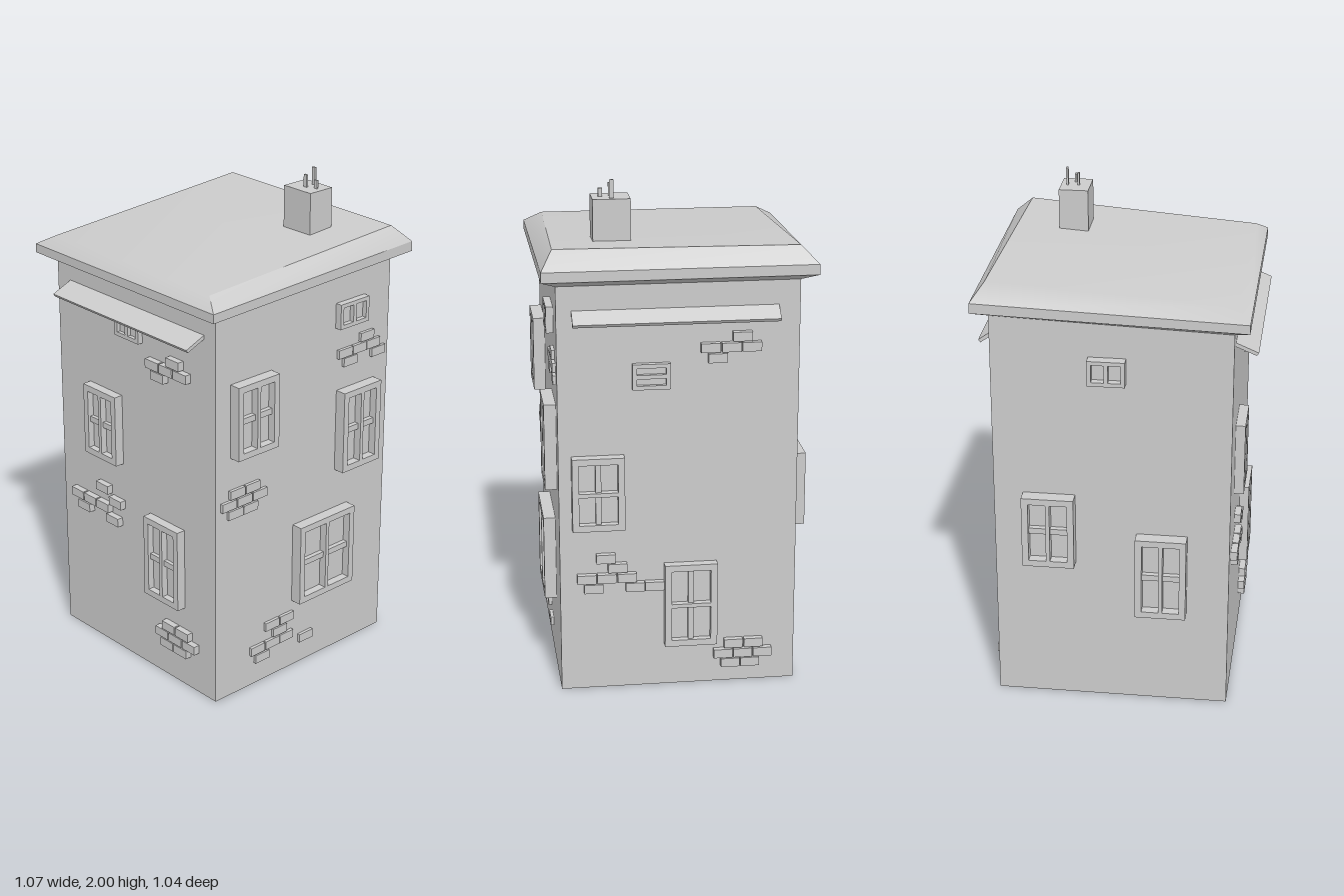
import * as THREE from 'three';

const grey = new THREE.MeshStandardMaterial({ color: 0xcccccc, side: THREE.DoubleSide });

function add(parent, name, geometry, x = 0, y = 0, z = 0) {
  const mesh = new THREE.Mesh(geometry, grey);
  mesh.name = name;
  mesh.position.set(x, y, z);
  parent.add(mesh);
  return mesh;
}

function box(parent, name, u0, u1, v0, v1, d0, d1) {
  return add(parent, name, new THREE.BoxGeometry(u1 - u0, v1 - v0, d1 - d0),
    (u0 + u1) / 2, (v0 + v1) / 2, (d0 + d1) / 2);
}

// Geometry from quads of corner points; points shared by reference give smooth normals when smooth is set
function quads(list, smooth = false) {
  const points = [], index = [];
  for (const quad of list) {
    const ids = quad.map((p) => {
      const found = smooth ? points.indexOf(p) : -1;
      return found >= 0 ? found : points.push(p) - 1;
    });
    index.push(ids[0], ids[1], ids[2], ids[0], ids[2], ids[3]);
  }
  const g = new THREE.BufferGeometry();
  g.setAttribute('position', new THREE.Float32BufferAttribute(points.flat(), 3));
  g.setIndex(index);
  g.computeVertexNormals();
  return g;
}

// Side faces between two rings of four corners
const sides = (low, high, which = [0, 1, 2, 3]) => which.map((i) => {
  const j = (i + 1) % 4;
  return [low[i], low[j], high[j], high[i]];
});

// Ring order: front -x, front +x, back +x, back -x
const ring = (x0, x1, z0, z1, yLow, yHigh) =>
  [[x0, yLow, z1], [x1, yHigh, z1], [x1, yHigh, z0], [x0, yLow, z0]];

function rectPath(path, u0, u1, v0, v1) {
  path.moveTo(u0, v0);
  path.lineTo(u1, v0);
  path.lineTo(u1, v1);
  path.lineTo(u0, v1);
  path.closePath();
  return path;
}

// Framed window with two panes; columns: side by side, otherwise stacked
function addWindow(face, u0, u1, v0, v1, depth, { columns = true, small = false } = {}) {
  const group = new THREE.Group();
  group.name = small ? 'smallWindow' : 'window';
  face.add(group);
  const m = small ? 0.016 : 0.026, half = 0.008, inside = 0.015;
  const uc = (u0 + u1) / 2, vc = (v0 + v1) / 2;
  const [a, b, c, d] = [u0 + m, u1 - m, v0 + m, v1 - m];
  const shape = rectPath(new THREE.Shape(), u0, u1, v0, v1);
  const holes = columns
    ? [[a, uc - half, c, d], [uc + half, b, c, d]]
    : [[a, b, c, vc - half], [a, b, vc + half, d]];
  holes.forEach((h) => shape.holes.push(rectPath(new THREE.Path(), ...h)));
  add(group, 'windowFrame',
    new THREE.ExtrudeGeometry(shape, { depth: depth + inside, bevelEnabled: false }), 0, 0, -inside);
  box(group, 'windowPane', a, b, c, d, -0.01, depth * 0.3);
  if (small) return;
  // Thin recessed glazing bar crossing both panes
  if (columns) box(group, 'glazingBar', a, b, vc - 0.012, vc + 0.012, 0, depth * 0.7);
  else box(group, 'glazingBar', uc - 0.011, uc + 0.011, c, d, 0, depth * 0.7);
}

// Brick cluster: each row is [height of centre, ...brick centres]
function addBricks(face, depth, rows) {
  const group = new THREE.Group();
  group.name = 'exposedBricks';
  face.add(group);
  for (const [v, ...centres] of rows) {
    for (const u of centres) box(group, 'brick', u - 0.037, u + 0.037, v - 0.018, v + 0.018, -0.012, depth);
  }
}

// Sloping board from the wall out to its lower edge
function addAwning(face, u0, u1, top, bottom, reach) {
  const shape = new THREE.Shape();
  shape.moveTo(-0.01, top);
  shape.lineTo(reach, bottom + 0.012);
  shape.lineTo(reach - 0.008, bottom);
  shape.lineTo(-0.01, top - 0.016);
  shape.closePath();
  const g = new THREE.ExtrudeGeometry(shape, { depth: u1 - u0, bevelEnabled: false });
  g.rotateY(-Math.PI / 2);
  add(face, 'awning', g, u1, 0, 0);
}

export function createModel() {
  const root = new THREE.Group();
  root.name = 'towerHouse';

  // Walls, open at the bottom
  const foot = ring(-0.45, 0.475, -0.462, 0.465, 0, 0);
  const wallTop = ring(-0.45, 0.475, -0.462, 0.465, 1.612, 1.643);
  add(root, 'walls', quads(sides(foot, wallTop)));

  // Tilted roof with sloping eaves, rim and bevelled top
  const eaveLow = ring(-0.51, 0.535, -0.522, 0.522, 1.642, 1.672);
  const eaveTop = ring(-0.51, 0.535, -0.522, 0.522, 1.678, 1.712);
  const crown = [[-0.465, 1.72, 0.45], [0.462, 1.782, 0.475], [0.485, 1.778, -0.457], [-0.46, 1.72, -0.45]];
  add(root, 'eaves', quads([...sides(wallTop, eaveLow), ...sides(eaveLow, eaveTop)]));
  add(root, 'roofBevel', quads(sides(eaveTop, crown, [0, 1])));
  add(root, 'roofTop', quads([crown, ...sides(eaveTop, crown, [2, 3])], true));

  // Chimney and its thin pipes
  box(root, 'chimney', 0.185, 0.302, 1.7, 1.93, 0.162, 0.307);
  for (const [x, z, top] of [[0.232, 0.233, 1.98], [0.277, 0.233, 2.0], [0.248, 0.273, 1.963]]) {
    box(root, 'chimneyPipe', x - 0.004, x + 0.004, 1.92, top, z - 0.008, z + 0.008);
  }

  // Each face group has u to the right, v up and depth outward
  const makeFace = (name, angle, x, z) => {
    const face = new THREE.Group();
    face.name = name;
    face.rotation.y = angle;
    face.position.set(x, 0, z);
    root.add(face);
    return face;
  };

  // Front
  const front = makeFace('frontDetails', 0, 0, 0.465);
  addWindow(front, -0.374, -0.164, 1.045, 1.347, 0.047);
  addWindow(front, 0.191, 0.398, 0.814, 1.159, 0.047);
  addWindow(front, -0.037, 0.265, 0.302, 0.645, 0.047);
  addWindow(front, 0.178, 0.334, 1.425, 1.528, 0.028, { small: true });
  addBricks(front, 0.013, [[1.353, 0.347], [1.312, 0.227, 0.305, 0.382], [1.272, 0.255, 0.412]]);
  addBricks(front, 0.013, [[0.892, -0.345, -0.265], [0.85, -0.387, -0.308, -0.228], [0.808, -0.355, -0.276]]);
  addBricks(front, 0.013, [[0.24, -0.153, -0.073], [0.198, -0.111], [0.156, -0.231, -0.152, -0.075], [0.114, -0.207, 0.037]]);

  // +x side, u = -z
  const left = makeFace('leftDetails', Math.PI / 2, 0.475, 0);
  addAwning(left, -0.407, 0.38, 1.555, 1.495, 0.058);
  addWindow(left, -0.18, -0.035, 1.235, 1.336, 0.022, { columns: false, small: true });
  addWindow(left, -0.416, -0.213, 0.677, 0.973, 0.041, { columns: false });
  addWindow(left, -0.058, 0.149, 0.175, 0.518, 0.038, { columns: false });
  addBricks(left, 0.024, [[1.432, 0.24], [1.391, 0.118, 0.198, 0.276], [1.35, 0.146]]);
  addBricks(left, 0.024, [[0.553, -0.287], [0.513, -0.242], [0.47, -0.362, -0.284, -0.205], [0.43, -0.336, -0.173, -0.097]]);
  addBricks(left, 0.024, [[0.167, 0.217, 0.296], [0.125, 0.176, 0.255, 0.333], [0.085, 0.205, 0.283]]);

  // Back, u = -x
  const back = makeFace('backDetails', Math.PI, 0, -0.462);
  addWindow(back, -0.36, -0.155, 0.608, 0.906, 0.057);
  addWindow(back, 0.085, 0.285, 0.405, 0.75, 0.057);
  addWindow(back, -0.1, 0.045, 1.392, 1.494, 0.042, { small: true });

  // -x side, u = z
  const right = makeFace('rightDetails', -Math.PI / 2, -0.45, 0);
  addAwning(right, -0.385, 0.403, 1.552, 1.499, 0.087);
  addWindow(right, -0.275, -0.08, 0.853, 1.15, 0.038);
  addWindow(right, 0.083, 0.285, 0.35, 0.695, 0.038);
  addWindow(right, -0.09, 0.05, 1.41, 1.512, 0.022, { small: true });
  addBricks(right, 0.026, [[1.39, 0.25], [1.35, 0.13, 0.21, 0.29], [1.31, 0.16]]);
  addBricks(right, 0.026, [[0.715, -0.19], [0.674, -0.11], [0.632, -0.35, -0.27, -0.19], [0.59, -0.31, -0.13]]);
  addBricks(right, 0.026, [[0.237, 0.21, 0.29], [0.197, 0.17, 0.25, 0.33], [0.157, 0.2, 0.28]]);

  return root;
}
